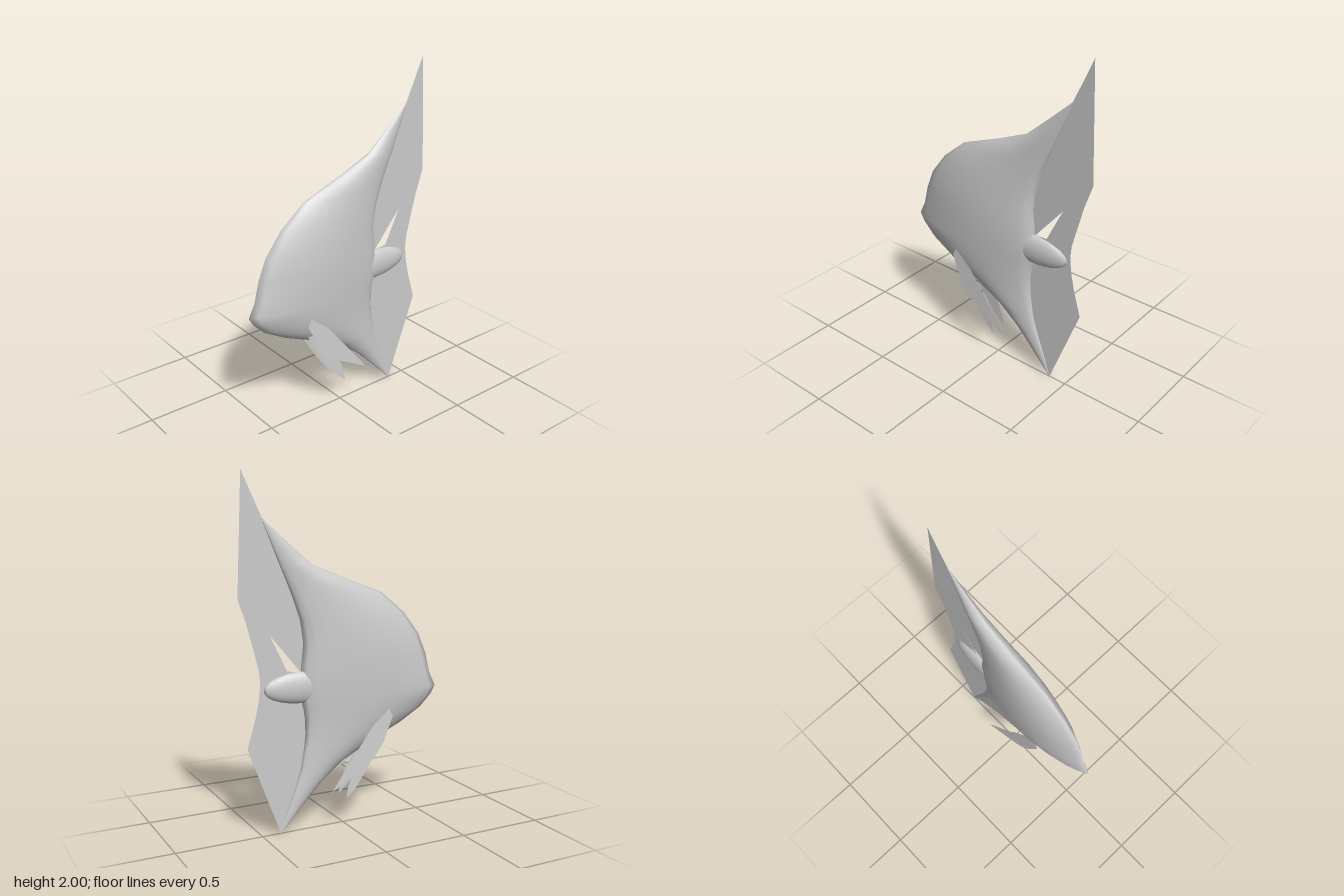
import * as THREE from 'three';

const grey = new THREE.MeshStandardMaterial({ color: 0xcccccc });
const thin = new THREE.MeshStandardMaterial({ color: 0xcccccc, side: THREE.DoubleSide });

function add(group, name, geometry, material) {
  const mesh = new THREE.Mesh(geometry, material);
  mesh.name = name;
  group.add(mesh);
  return mesh;
}

// Horizontal slices of the body: height, front z, rear z, half width
const slices = [
  [0, -0.385, -0.39, 0.001], [0.13, -0.265, -0.345, 0.013], [0.26, -0.14, -0.295, 0.026],
  [0.37, 0, -0.26, 0.04], [0.485, 0.23, -0.242, 0.055], [0.55, 0.38, -0.235, 0.065],
  [0.63, 0.52, -0.235, 0.076], [0.7, 0.59, -0.245, 0.084], [0.75, 0.62, -0.258, 0.087],
  [0.83, 0.58, -0.262, 0.092], [0.95, 0.55, -0.257, 0.095], [1.07, 0.5, -0.243, 0.092],
  [1.2, 0.4, -0.262, 0.08], [1.325, 0.25, -0.305, 0.062], [1.42, 0, -0.343, 0.045],
  [1.5, -0.19, -0.378, 0.033], [1.62, -0.33, -0.427, 0.017], [1.75, -0.475, -0.48, 0.001],
];
// Lens outline of a slice: fraction from front to rear, fraction of half width
const lens = [[0, 0], [0.05, 0.24], [0.12, 0.5], [0.22, 0.74], [0.35, 0.94], [0.5, 1],
  [0.65, 0.93], [0.8, 0.74], [0.91, 0.52], [0.97, 0.3], [1, 0]];

function bodyGeometry() {
  const ring = [...lens, ...lens.slice(1, -1).reverse().map(([t, w]) => [t, -w])];
  const n = ring.length;
  const positions = [], index = [];
  slices.forEach(([y, front, rear, half], row) => {
    ring.forEach(([t, w], i) => {
      positions.push(w * half, y, front + (rear - front) * t);
      if (row === 0) return;
      const a = (row - 1) * n + i, b = (row - 1) * n + (i + 1) % n;
      index.push(a, b, a + n, b, b + n, a + n);
    });
  });
  const geometry = new THREE.BufferGeometry();
  geometry.setAttribute('position', new THREE.Float32BufferAttribute(positions, 3));
  geometry.setIndex(index);
  geometry.computeVertexNormals();
  return geometry;
}

// Thin sheet from a [z, y] outline; xAt gives its sideways offset by height
function sheet(outline, xAt, holes = []) {
  const points = (list) => list.map(([z, y]) => new THREE.Vector2(z, y));
  const shape = new THREE.Shape(points(outline));
  shape.holes = holes.map((hole) => new THREE.Path(points(hole)));
  const geometry = new THREE.ShapeGeometry(shape);
  const p = geometry.attributes.position;
  for (let i = 0; i < p.count; i++) {
    const z = p.getX(i), y = p.getY(i);
    p.setXYZ(i, xAt(y), y, z);
  }
  geometry.computeVertexNormals();
  return geometry;
}

export function createModel() {
  const fish = new THREE.Group();
  fish.name = 'fish';

  add(fish, 'body', bodyGeometry(), grey);

  // Tapered root of the tail
  const root = add(fish, 'tailRoot', new THREE.SphereGeometry(1, 20, 14), grey);
  root.scale.set(0.04, 0.09, 0.24);
  root.position.set(0, 0.825, -0.24);

  // Dorsal fin, tail and anal fin form one flat sheet with a notch
  add(fish, 'dorsalTailAndAnalFin', sheet([
    [-0.475, 1.75], [-0.59, 2], [-0.62, 1.33], [-0.575, 1.2], [-0.53, 1.03], [-0.505, 0.93],
    [-0.5, 0.86], [-0.51, 0.77], [-0.535, 0.66], [-0.58, 0.51], [-0.39, 0], [-0.28, 0.26],
    [-0.2, 0.5], [-0.2, 1.2], [-0.34, 1.5],
  ], () => 0, [[[-0.26, 0.91], [-0.34, 0.92], [-0.44, 1.125]]]), thin);

  // Paired fins on both sides
  for (const [side, label] of [[1, 'left'], [-1, 'right']]) {
    add(fish, label + 'PectoralFin', sheet([
      [0.26, 0.66], [0.15, 0.57], [0, 0.38], [-0.12, 0.225], [0.05, 0.32], [0.15, 0.38],
      [0.22, 0.47], [0.285, 0.62],
    ], (y) => side * (0.1 - 0.023 * (y - 0.225) / 0.435)), thin);
    add(fish, label + 'PelvicFin', sheet([
      [0.26, 0.53], [0.22, 0.45], [0.14, 0.32], [0.06, 0.21], [0, 0.155], [0.01, 0.22],
      [0.045, 0.32], [0.1, 0.4], [0.18, 0.52],
    ], (y) => side * (0.05 - 0.01 * (y - 0.155) / 0.375)), thin);
  }
  return fish;
}
